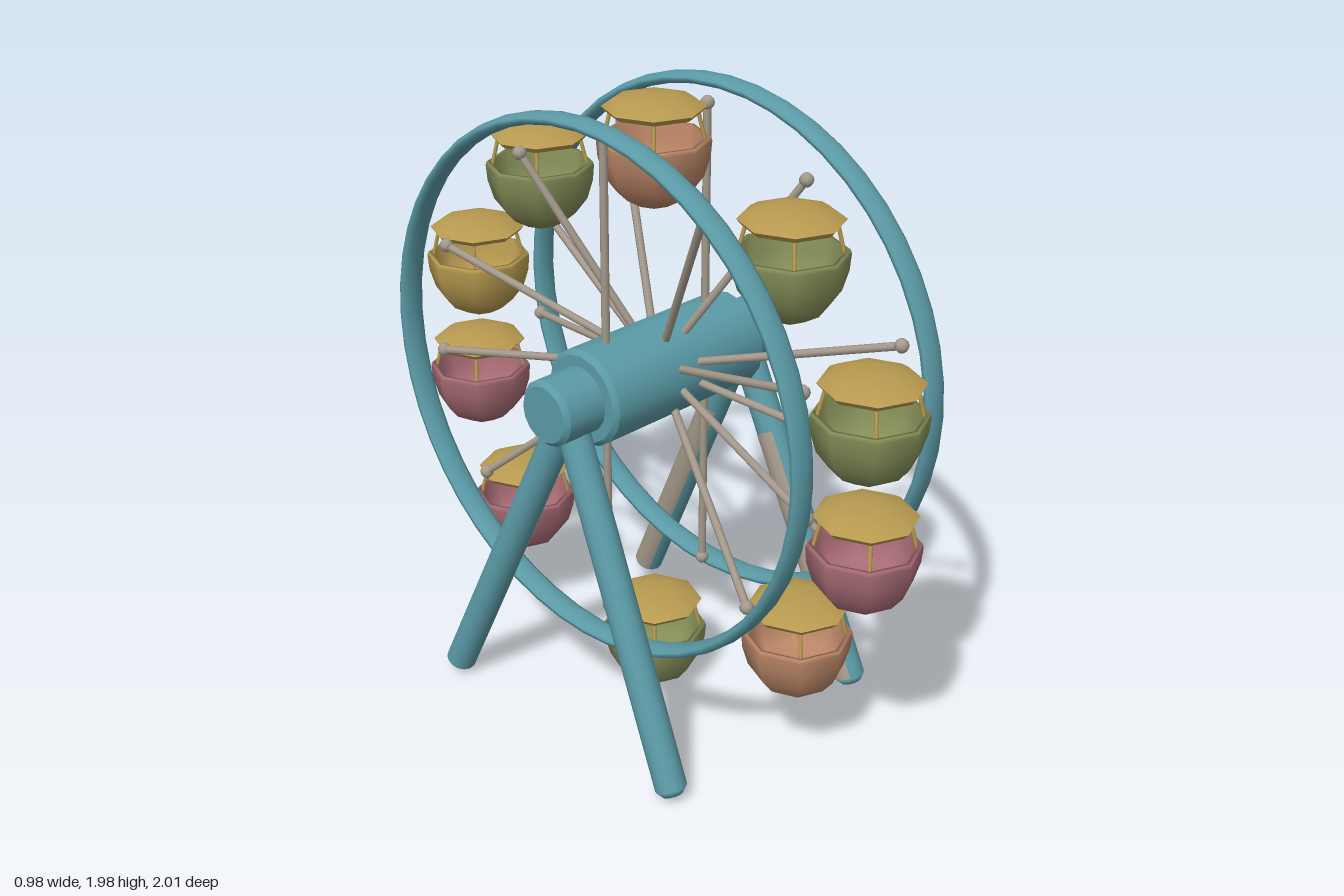
import * as THREE from 'three';
import { toCreasedNormals } from 'three/addons/utils/BufferGeometryUtils.js';

const mat = (name, color, side = THREE.FrontSide) => {
  const m = new THREE.MeshStandardMaterial({ color, side });
  m.name = name;
  return m;
};
const v = (x, y, z) => new THREE.Vector3(x, y, z);
const UP = v(0, 1, 0);

export function createModel() {
  const teal = mat('teal paint', 0x5b9ba7, THREE.DoubleSide);
  const beige = mat('beige metal', 0xa59a8c, THREE.DoubleSide);
  const yellow = mat('yellow paint', 0xb89a50);
  const cabinMats = {
    orange: mat('orange paint', 0xb98566, THREE.DoubleSide),
    green: mat('green paint', 0x838d57, THREE.DoubleSide),
    pink: mat('pink paint', 0xa76b74, THREE.DoubleSide),
    yellow: mat('yellow cabin paint', 0xb89a50, THREE.DoubleSide),
  };
  const root = new THREE.Group();
  root.name = 'ferrisWheel';

  const add = (parent, name, geometry, material) => {
    const mesh = new THREE.Mesh(geometry, material);
    mesh.name = name;
    parent.add(mesh);
    return mesh;
  };
  const lathe = (pts, sides) =>
    new THREE.LatheGeometry(pts.map(([r, y]) => new THREE.Vector2(r, y)), sides);
  // turn a mesh whose axis is y so that it starts at a and points to b
  const aim = (mesh, a, b) => {
    mesh.position.copy(a);
    mesh.quaternion.setFromUnitVectors(UP, b.clone().sub(a).normalize());
  };
  const rod = (parent, name, a, b, radius, material) => {
    const len = a.distanceTo(b);
    const geo = new THREE.CylinderGeometry(radius, radius, len, 8).translate(0, len / 2, 0);
    aim(add(parent, name, geo, material), a, b);
  };

  // axle with bevelled ends, and the thick hub around it
  const bevelled = (r, half, bevel, sides) => toCreasedNormals(lathe([
    [0, -half], [r - bevel, -half], [r, -half + bevel],
    [r, half - bevel], [r - bevel, half], [0, half]], sides), 0.6);
  for (const [name, r, half] of [['axle', 0.103, 0.468], ['hub', 0.152, 0.32]]) {
    const mesh = add(root, name, bevelled(r, half, 0.015, 16), teal);
    mesh.rotation.z = Math.PI / 2;
    mesh.position.set(-0.003, 1.135, 0);
  }

  // two rims with a wide, flat section
  for (const x of [-0.295, 0.273]) {
    const rim = add(root, 'rim', new THREE.TorusGeometry(0.833, 0.019, 10, 48), teal);
    rim.rotation.y = Math.PI / 2;
    rim.scale.set(1, 0.982, 2.2);
    rim.position.set(x, 1.148, 0);
  }

  // splayed legs: foot positions, with a beige strip along the inner face
  const feet = [[0.39, 0.5], [0.44, -0.5], [-0.44, 0.5], [-0.445, -0.49]];
  for (const [x, z] of feet) {
    const s = Math.sign(x);
    const foot = v(x, 0.033, z), top = v(s * 0.375, 1.11, 0);
    const len = foot.distanceTo(top), r = 0.049;
    const leg = add(root, 'leg', lathe([[0, 0], [r - 0.017, 0], [r, 0.02],
      [r, len - 0.02], [r - 0.017, len], [0, len]], 14), teal);
    aim(leg, foot, top);
    const strip = new THREE.CylinderGeometry(r + 0.001, r + 0.001, len * 0.72, 8, 1, true,
      -s * Math.PI / 2 - 0.8, 1.6).translate(0, len * 0.38, 0);
    aim(add(root, 'legInnerStrip', strip, beige), foot, top);
  }

  // spokes with ball tips; the vertical pair runs straight, the rest fan out
  const tips = [[0, 1.92], [0.39, 1.78], [0.76, 1.385], [0.79, 1.01], [0.58, 0.63],
    [0, 0.375], [-0.58, 0.63], [-0.77, 1.01], [-0.73, 1.385], [-0.36, 1.78]];
  for (const [z, y] of tips) {
    for (const s of [-1, 1]) {
      const x = s * 0.21 - 0.01;
      const tip = v(x, y, z);
      rod(root, 'spoke', v(z === 0 ? x : -0.005, 1.14, 0), tip, 0.0125, beige);
      add(root, 'spokeTip', new THREE.SphereGeometry(0.022, 8, 6), beige).position.copy(tip);
    }
  }

  // cabins: open bowl, four posts and an eight-sided roof
  const bowlGeo = lathe([[0, -0.208], [0.055, -0.2], [0.108, -0.168], [0.145, -0.12],
    [0.163, -0.06], [0.167, -0.012], [0.164, 0], [0.152, 0], [0.15, -0.05], [0.12, -0.12],
    [0, -0.13]], 8);
  const roofGeo = toCreasedNormals(lathe([[0, 0.072], [0.1, 0.072], [0.138, 0.074],
    [0.152, 0.09], [0.125, 0.107], [0.07, 0.12], [0, 0.123]], 8), 0.5);
  const cabin = (z, rimY, colour) => {
    const g = new THREE.Group();
    g.name = 'cabin';
    g.position.set(-0.02, rimY, z);
    add(g, 'cabinBowl', bowlGeo, cabinMats[colour]);
    add(g, 'cabinRoof', roofGeo, yellow);
    for (const sx of [-1, 1]) for (const sz of [-1, 1]) {
      rod(g, 'cabinPost', v(sx * 0.105, -0.02, sz * 0.105),
        v(sx * 0.088, 0.08, sz * 0.088), 0.006, yellow);
    }
    root.add(g);
  };
  const cabins = [[0, 1.868, 'orange'], [0.53, 1.67, 'green'], [0.835, 1.28, 'green'],
    [0.84, 0.87, 'pink'], [0.605, 0.47, 'orange'], [0, 0.22, 'green'],
    [-0.625, 0.47, 'pink'], [-0.835, 0.875, 'pink'], [-0.82, 1.28, 'yellow'],
    [-0.5, 1.67, 'green']];
  for (const c of cabins) cabin(...c);

  return root;
}
